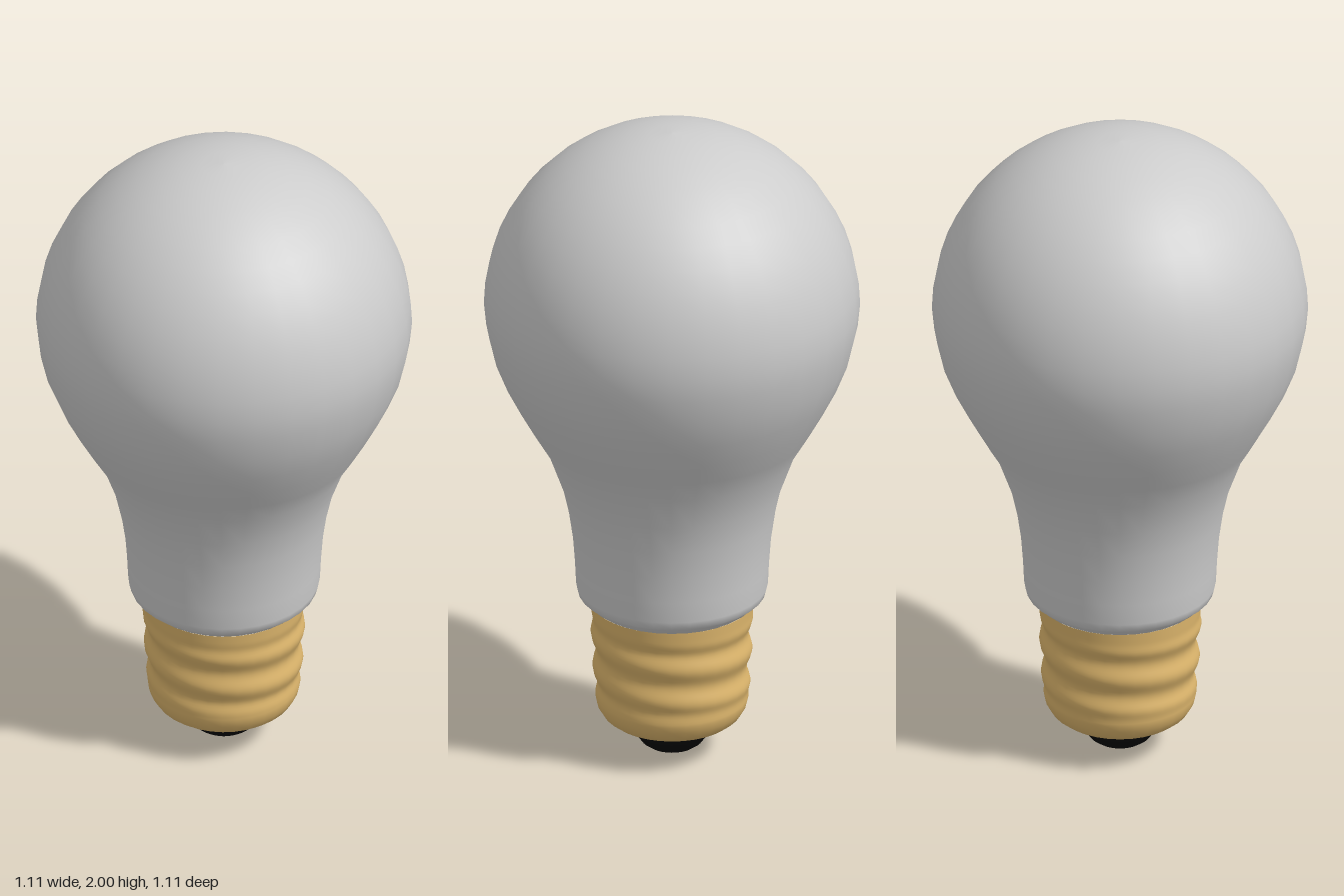
import * as THREE from 'three';
import { mergeVertices } from 'three/addons/utils/BufferGeometryUtils.js';

const SIDES = 32;
const glass = new THREE.MeshStandardMaterial({ color: 0xcccccc, name: 'frosted glass' });
const brass = new THREE.MeshStandardMaterial({ color: 0xdcb56c, name: 'brass' });
const black = new THREE.MeshStandardMaterial({ color: 0x080808, name: 'black insulator' });

// Profiles are [radius, height] pairs running from bottom to top.
function turned(name, profile, material) {
  const points = profile.map(([r, y]) => new THREE.Vector2(r, y));
  const mesh = new THREE.Mesh(new THREE.LatheGeometry(points, SIDES), material);
  mesh.name = name;
  return mesh;
}

// Screw cap: a turned shell whose radius follows a helical wave
function screwCap() {
  const points = [[0.12, 0.085], [0.15, 0.09], [0.182, 0.102], [0.205, 0.12], [0.22, 0.145]]
    .map(([r, y]) => new THREE.Vector2(r, y));
  const rows = 36;
  for (let i = 0; i <= rows; i++) {
    const t = i / rows;
    points.push(new THREE.Vector2(0.225 + 0.015 * t, 0.165 + 0.315 * t));
  }
  let geometry = new THREE.LatheGeometry(points, SIDES);
  const pos = geometry.attributes.position;
  const pitch = 0.11;
  for (let i = 0; i < pos.count; i++) {
    const x = pos.getX(i), y = pos.getY(i), z = pos.getZ(i);
    const fade = THREE.MathUtils.smoothstep(y, 0.17, 0.23) * (1 - THREE.MathUtils.smoothstep(y, 0.39, 0.45));
    const wave = Math.cos(2 * Math.PI * (y - 0.29) / pitch + Math.atan2(x, z));
    const k = 1 + fade * (0.007 * wave - 0.002) / Math.hypot(x, z);
    pos.setXYZ(i, x * k, y, z * k);
  }
  // Weld the seam so the thread shades smoothly all round
  geometry.deleteAttribute('uv');
  geometry.deleteAttribute('normal');
  geometry = mergeVertices(geometry, 1e-4);
  geometry.computeVertexNormals();
  const mesh = new THREE.Mesh(geometry, brass);
  mesh.name = 'screwCap';
  return mesh;
}

export function createModel() {
  const model = new THREE.Group();
  model.name = 'lightBulb';

  // Glass envelope: collar and neck, then a spherical crown
  const envelope = [
    [0.236, 0.478], [0.25, 0.488], [0.262, 0.5], [0.277, 0.512], [0.283, 0.535], [0.286, 0.6],
    [0.292, 0.68], [0.305, 0.77], [0.325, 0.86], [0.365, 0.97], [0.41, 1.045],
    [0.452, 1.12], [0.493, 1.2], [0.527, 1.285], [0.548, 1.375],
  ];
  const steps = 13;
  for (let i = 0; i <= steps; i++) {
    const a = (i / steps) * Math.PI / 2;
    envelope.push([i === steps ? 0 : 0.555 * Math.cos(a), 1.445 + 0.555 * Math.sin(a)]);
  }
  model.add(turned('glassEnvelope', envelope, glass));

  model.add(screwCap());

  // Insulator and the foot contact beneath it
  model.add(turned('insulator', [
    [0.05, 0.01], [0.072, 0.014], [0.09, 0.027], [0.108, 0.052], [0.124, 0.077], [0.128, 0.088],
  ], black));
  model.add(turned('footContact', [[0, 0], [0.025, 0.002], [0.042, 0.006], [0.053, 0.013]], brass));

  return model;
}
